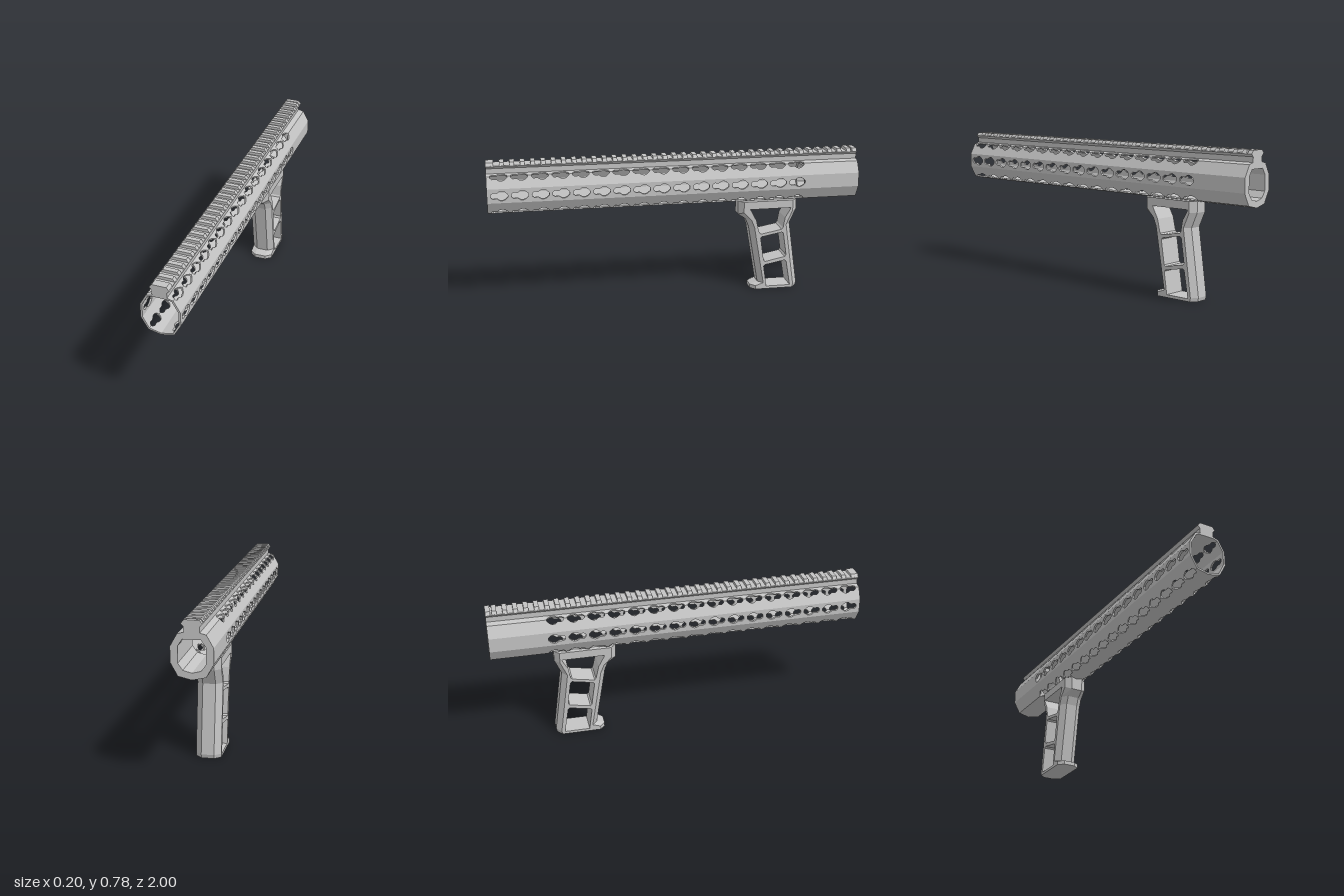
import * as THREE from 'three';

const grey = new THREE.MeshStandardMaterial({ color: 0xc4c4c4 });
grey.name = 'metalGrey';

const V = (x, y) => new THREE.Vector2(x, y);
const mirrorRing = (pts) => [...pts, ...pts.slice(1).reverse().map(([x, y]) => [-x, y])];

// Tube cross-sections, counterclockwise from the bottom centre
const OUTER = mirrorRing([[0, 0.502], [0.065, 0.517], [0.1, 0.58], [0.1, 0.655], [0.067, 0.714], [0.037, 0.722]]);
const THIN = mirrorRing([[0, 0.511], [0.059, 0.525], [0.09, 0.583], [0.09, 0.652], [0.06, 0.706], [0.037, 0.713]]);
const THICK = mirrorRing([[0, 0.535], [0.042, 0.546], [0.065, 0.578], [0.065, 0.657], [0.043, 0.69], [0.034, 0.69]]);

// Keyhole slots: distance back from the slot's front end, and half width
const SLOT = [[0, 0], [0.001, 0.008], [0.011, 0.016], [0.032, 0.014], [0.046, 0.024],
  [0.06, 0.026], [0.074, 0.02], [0.087, 0.008], [0.088, 0]];
const SLOT_STARTS = Array.from({ length: 16 }, (_, i) => 0.981 - i * 0.106);
const SLOT_CORNERS = new Set([1, 4, 7, 10]);
const SLOT_SIDES = new Set([2, 8]);

function mesh(geometry, name) {
  const geo = geometry.index ? geometry.toNonIndexed() : geometry;
  geo.computeVertexNormals();
  const m = new THREE.Mesh(geo, grey);
  m.name = name;
  return m;
}

// One wall panel of the tube, bent from a flat extruded shape to fit between two rings
function wallPanel(i, inner, back, front, slotted, name) {
  const n = OUTER.length, j = (i + 1) % n;
  const len = Math.hypot(OUTER[j][0] - OUTER[i][0], OUTER[j][1] - OUTER[i][1]);
  const pts = [V(back, 0)];
  if (slotted && SLOT_CORNERS.has(i)) {
    for (const f of [...SLOT_STARTS].reverse())
      for (const [d, h] of [...SLOT].reverse()) pts.push(V(f - d, h));
  }
  pts.push(V(front, 0), V(front, len));
  if (slotted && SLOT_CORNERS.has(j)) {
    for (const f of SLOT_STARTS)
      for (const [d, h] of SLOT) pts.push(V(f - d, len - h));
  }
  pts.push(V(back, len));
  const shape = new THREE.Shape(pts);
  if (slotted && SLOT_SIDES.has(i)) {
    for (const f of SLOT_STARTS) {
      const half = SLOT.map(([d, h]) => V(f - d, len / 2 + h));
      const other = SLOT.slice(1, -1).reverse().map(([d, h]) => V(f - d, len / 2 - h));
      shape.holes.push(new THREE.Path([...half, ...other]));
    }
  }
  const geo = new THREE.ExtrudeGeometry(shape, { depth: 1, bevelEnabled: false });
  const p = geo.attributes.position, mix = THREE.MathUtils.lerp;
  for (let k = 0; k < p.count; k++) {
    const z = p.getX(k), s = p.getY(k) / len, w = p.getZ(k);
    const at = (c) => mix(mix(OUTER[i][c], OUTER[j][c], s), mix(inner[i][c], inner[j][c], s), w);
    p.setXYZ(k, at(0), at(1), z);
  }
  return mesh(geo, name);
}

// Extrude an x-y outline along z
function bar(points, z0, z1, name) {
  const geo = new THREE.ExtrudeGeometry(new THREE.Shape(points.map(([x, y]) => V(x, y))),
    { depth: z1 - z0, bevelEnabled: false });
  geo.translate(0, 0, z0);
  return mesh(geo, name);
}

// Grip: side profile with windows, extruded across x with chamfered front and back
function makeGrip() {
  // Each point is z, y and an optional rise of y on the chamfered sides
  const frontEdge = [[-0.342, 0.508], [-0.342, 0.435, 0.014], [-0.385, 0.405], [-0.403, 0.362],
    [-0.46, 0.036], [-0.417, 0.021], [-0.417, 0]];
  const backEdge = [[-0.68, 0], [-0.685, 0.02], [-0.635, 0.37], [-0.67, 0.45], [-0.67, 0.508]];
  const windows = [
    [[-0.405, 0.465], [-0.635, 0.465], [-0.602, 0.41], [-0.592, 0.352], [-0.584, 0.343],
      [-0.465, 0.321], [-0.457, 0.328], [-0.44, 0.4]],
    [[-0.466, 0.298], [-0.474, 0.306], [-0.586, 0.327], [-0.595, 0.319], [-0.614, 0.193],
      [-0.606, 0.183], [-0.495, 0.161], [-0.486, 0.168]],
    [[-0.487, 0.134], [-0.495, 0.142], [-0.607, 0.163], [-0.616, 0.155], [-0.64, 0.015], [-0.505, 0.015]],
  ];
  // Shape x is -z, so the extrusion runs along +x
  const flat = ([z, y]) => V(-z, y);
  const shape = new THREE.Shape([...frontEdge, ...backEdge].map(flat));
  shape.holes = windows.map((w) => new THREE.Path(w.map(flat)));
  const geo = new THREE.ExtrudeGeometry(shape, { depth: 3, steps: 3, bevelEnabled: false });
  const layers = [-0.063, -0.032, 0.032, 0.063];
  const p = geo.attributes.position;
  const find = (edge, z, y) => edge.find((e) => Math.hypot(e[0] - z, e[1] - y) < 1e-4);
  for (let k = 0; k < p.count; k++) {
    const layer = Math.round(p.getZ(k));
    let y = p.getY(k), z = -p.getX(k);
    if (layer === 0 || layer === 3) {
      const front = find(frontEdge, z, y);
      if (front) {
        z -= 0.027;
        y += front[2] ?? 0;
      } else if (find(backEdge, z, y)) z += 0.027;
    }
    p.setXYZ(k, layers[layer], y, z);
  }
  return mesh(geo, 'grip');
}

export function createModel() {
  const model = new THREE.Group();
  model.name = 'slottedTubeWithGrip';

  // Tube: thin slotted front section and thick plain rear collar
  const tube = new THREE.Group();
  tube.name = 'tube';
  for (let i = 0; i < OUTER.length; i++) {
    tube.add(wallPanel(i, THIN, -0.7, 1, true, 'slottedWall'));
    tube.add(wallPanel(i, THICK, -1, -0.7, false, 'rearCollarWall'));
  }
  model.add(tube);

  // Top rail with evenly spaced teeth
  const rail = new THREE.Group();
  rail.name = 'topRail';
  rail.add(bar([[-0.037, 0.718], [0.037, 0.718], [0.037, 0.749], [0.05, 0.762], [0.048, 0.765],
    [-0.048, 0.765], [-0.05, 0.762], [-0.037, 0.749]], -1, 1, 'railBase'));
  const tooth = [[-0.048, 0.764], [0.048, 0.764], [0.036, 0.78], [-0.036, 0.78]];
  rail.add(bar(tooth, 0.96, 1, 'railTooth'));
  for (let i = 0; i < 36; i++) {
    const z = 0.918 - i * 0.0535;
    rail.add(bar(tooth, z - 0.012, z + 0.012, 'railTooth'));
  }
  rail.add(bar(tooth, -1, -0.975, 'railTooth'));
  model.add(rail);

  model.add(makeGrip());
  return model;
}
